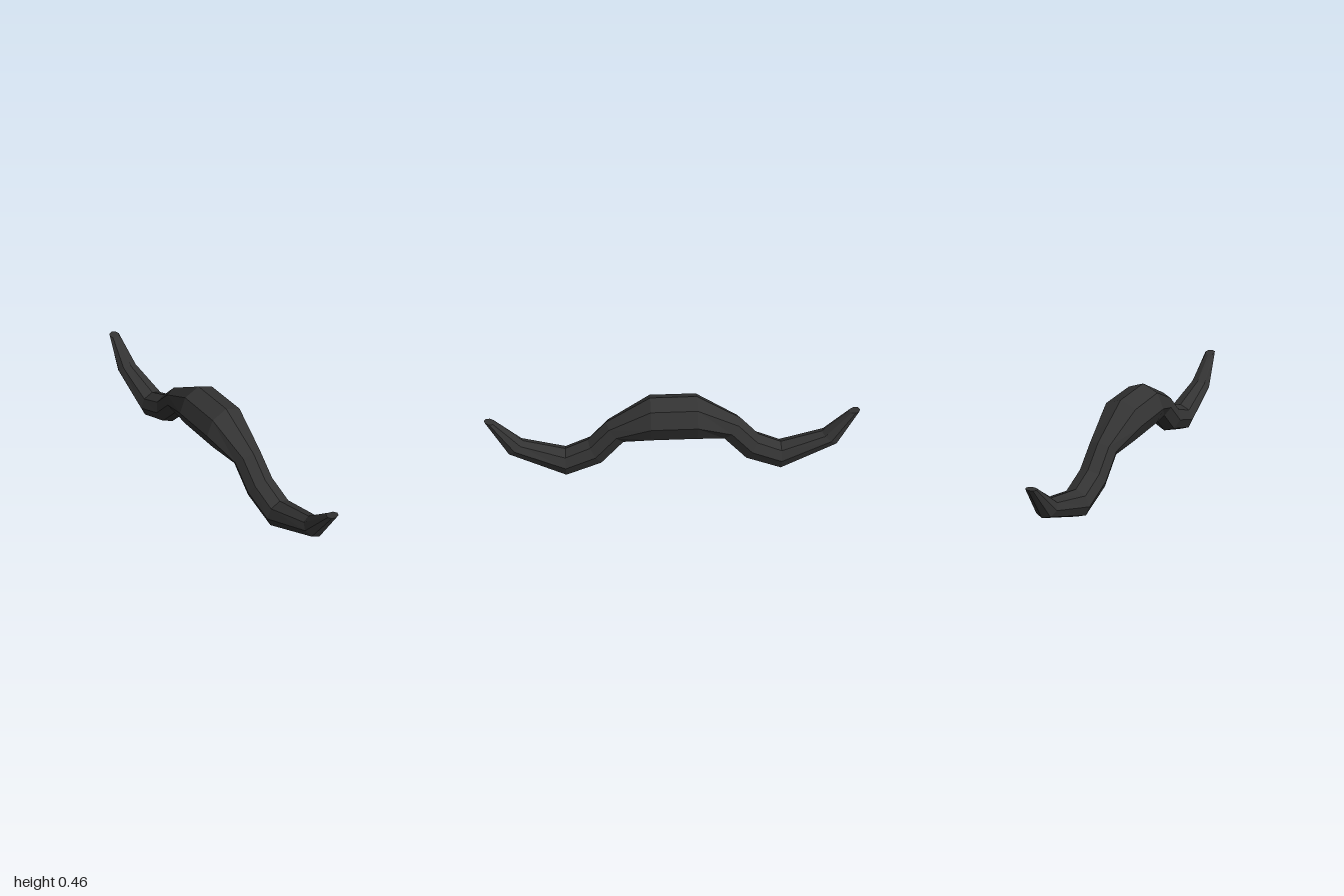
import * as THREE from 'three';

const SIDES = 8;

// Half of the bow: [top z, top y, bottom z, bottom y, half width], from grip to tip
const HALF = [
  [0.123, 0.466, 0.123, 0.219, 0.123],
  [0.36, 0.321, 0.255, 0.213, 0.078],
  [0.461, 0.213, 0.38, 0.078, 0.079],
  [0.583, 0.159, 0.583, 0.002, 0.079],
  [0.803, 0.219, 0.895, 0.152, 0.057],
  [0.943, 0.342, 1.0, 0.353, 0.03],
];

// Skins octagonal rings, with a fan closing each end
function loft(sections) {
  const pos = [], idx = [];
  for (const [tz, ty, bz, by, w] of sections) {
    const cz = (tz + bz) / 2, cy = (ty + by) / 2;
    for (let j = 0; j < SIDES; j++) {
      const a = (j / SIDES) * Math.PI * 2, c = Math.cos(a);
      pos.push(w * Math.sin(a), cy + (ty - cy) * c, cz + (tz - cz) * c);
    }
  }
  const last = sections.length - 1;
  for (let i = 0; i < last; i++) {
    for (let j = 0; j < SIDES; j++) {
      const k = (j + 1) % SIDES;
      const a = i * SIDES + j, c = i * SIDES + k;
      idx.push(a, a + SIDES, c, c, a + SIDES, c + SIDES);
    }
  }
  const end = last * SIDES;
  for (let j = 1; j < SIDES - 1; j++) {
    idx.push(0, j, j + 1);
    idx.push(end, end + j + 1, end + j);
  }
  const g = new THREE.BufferGeometry();
  g.setAttribute('position', new THREE.Float32BufferAttribute(pos, 3));
  g.setIndex(idx);
  const flat = g.toNonIndexed();
  flat.computeVertexNormals();
  return flat;
}

export function createModel() {
  const group = new THREE.Group();
  group.name = 'curvedHorn';

  // Mirror the half profile to the back, then run through to the front tip
  const back = HALF.map(([tz, ty, bz, by, w]) => [-tz, ty, -bz, by, w]).reverse();
  const material = new THREE.MeshStandardMaterial({ color: 0x333333, flatShading: true });
  const body = new THREE.Mesh(loft([...back, ...HALF]), material);
  body.name = 'hornBody';
  group.add(body);
  return group;
}
